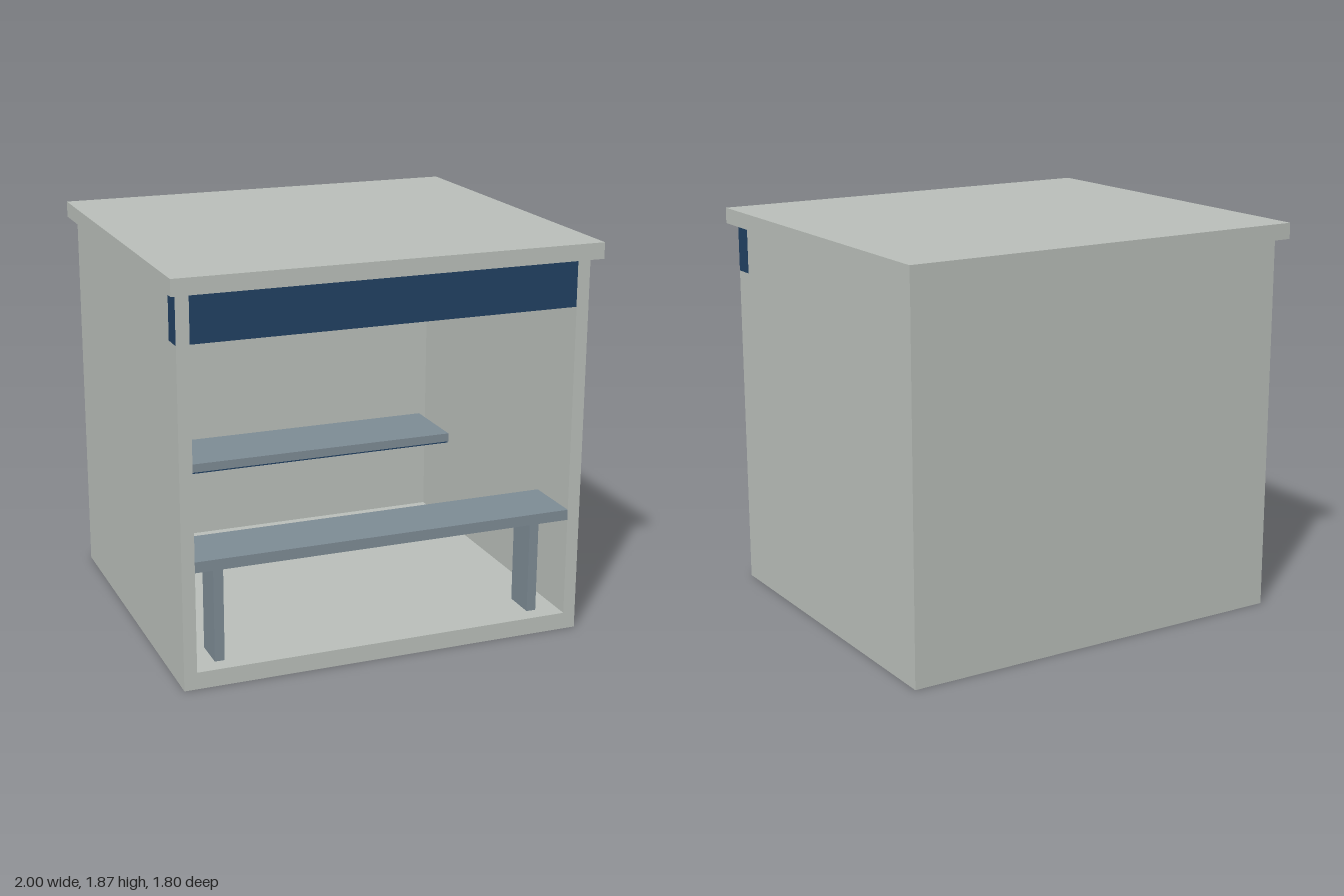
import * as THREE from 'three';

const mat = (name, color) => {
  const m = new THREE.MeshStandardMaterial({ color });
  m.name = name;
  return m;
};

export function createModel() {
  const group = new THREE.Group();
  const wallGrey = mat('wallGrey', 0xb9beb9);
  const steel = mat('steel', 0x7d8b94);
  const navy = mat('navy', 0x214062);

  // box given by its lower and upper limits on each axis
  const box = (name, m, [x0, x1], [y0, y1], [z0, z1]) => {
    const mesh = new THREE.Mesh(new THREE.BoxGeometry(x1 - x0, y1 - y0, z1 - z0), m);
    mesh.position.set((x0 + x1) / 2, (y0 + y1) / 2, (z0 + z1) / 2);
    mesh.name = name;
    group.add(mesh);
  };
  const sym = (w) => [-w, w];

  // open-fronted kiosk shell
  box('floor', wallGrey, sym(0.965), [0, 0.08], sym(0.84));
  box('backWall', wallGrey, sym(0.905), [0.08, 1.795], [-0.84, -0.78]);
  box('rightWall', wallGrey, [-0.965, -0.905], [0.08, 1.795], sym(0.84));
  box('leftWall', wallGrey, [0.905, 0.965], [0.08, 1.795], sym(0.84));
  box('roof', wallGrey, sym(1), [1.795, 1.87], sym(0.9));

  // fascia board, its ends just showing through the side walls
  box('fascia', navy, sym(0.966), [1.57, 1.795], [0.74, 0.838]);

  // serving counter on two legs
  box('servingCounter', steel, sym(0.905), [0.55, 0.6], [0.54, 0.84]);
  for (const s of [-1, 1]) {
    const x = s * 0.775;
    box('counterLeg', steel, [x - 0.023, x + 0.023], [0.08, 0.55], [0.6, 0.76]);
  }

  // worktop along the back wall with thin trim rails
  box('backWorktop', steel, sym(0.87), [0.556, 0.6], [-0.78, -0.4]);
  box('worktopTrim', navy, sym(0.87), [0.546, 0.556], [-0.42, -0.411]);
  box('floorTrim', navy, sym(0.87), [0.08, 0.09], [-0.4, -0.391]);
  for (let i = -3; i <= 3; i++) {
    box('trimStud', navy, [i * 0.26 - 0.012, i * 0.26 + 0.012], [0.09, 0.096], [-0.4, -0.391]);
  }

  // extractor hood and duct
  box('extractorHood', steel, sym(0.61), [1.262, 1.455], [-0.78, -0.43]);
  box('extractorDuct', steel, sym(0.12), [1.455, 1.795], [-0.78, -0.58]);

  return group;
}
